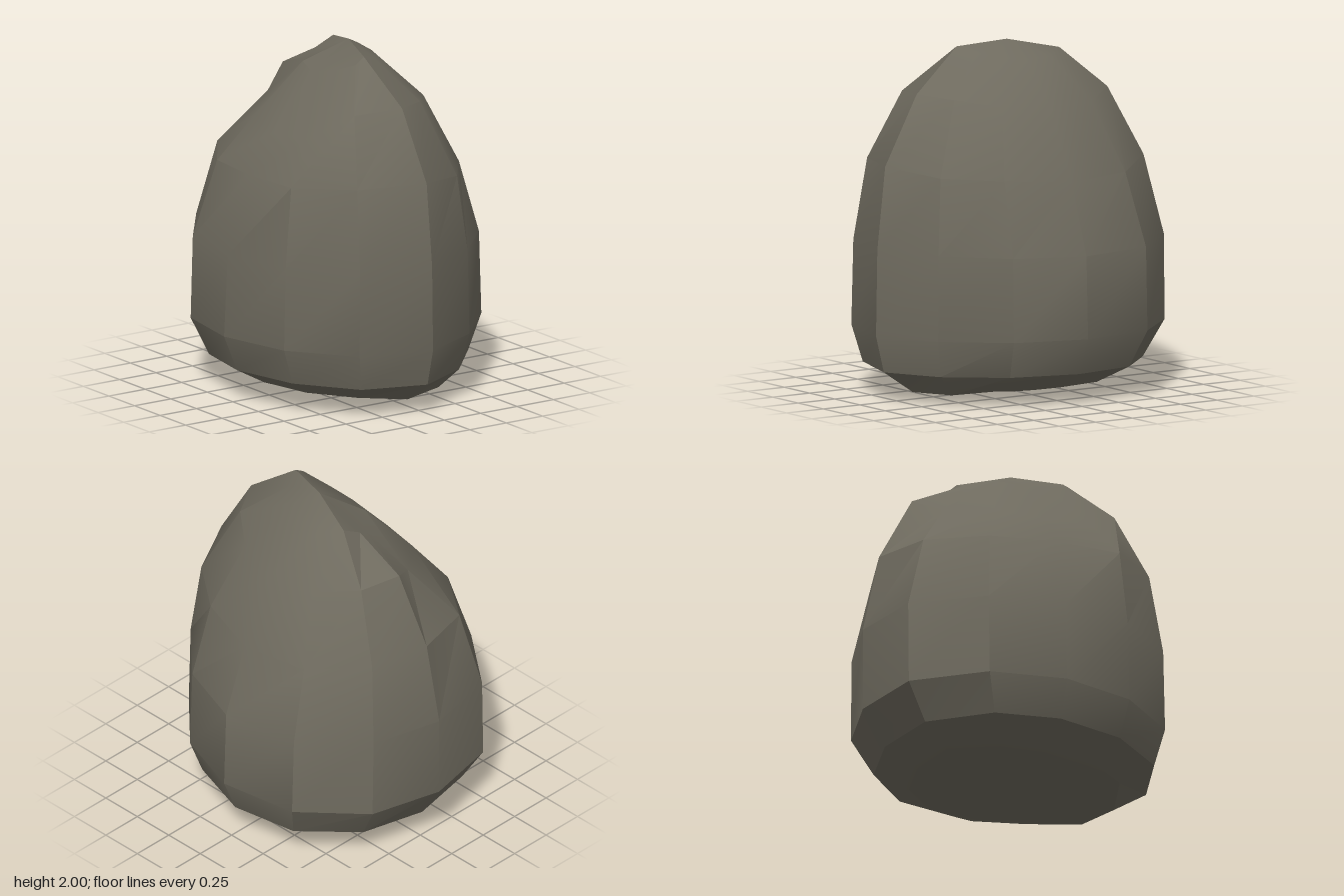
import * as THREE from 'three';
import { toCreasedNormals } from 'three/addons/utils/BufferGeometryUtils.js';

const stone = new THREE.MeshStandardMaterial({ color: 0x6e6a5e });
stone.name = 'grey brown stone';

// Irregular twelve-sided footprint [x, z] at the widest level, from +x towards +z
const footprint = [
  [0.89, 0], [0.77, 0.42], [0.43, 0.7], [0, 0.81], [-0.44, 0.73], [-0.81, 0.44],
  [-0.9, 0], [-0.79, -0.42], [-0.46, -0.73], [0, -0.81], [0.41, -0.67], [0.72, -0.37],
];

// Levels from top to bottom: heights at the sides, front and back,
// footprint scales to the left, right, front and back, sideways skew,
// and chipped corners that leave the rule, by footprint number
const levels = [
  { y: [1.95, 1.84, 1.9], s: [0.34, 0.33, 0.27, 0.25], skew: 0.2,
    chips: { 0: [0.3, 1.97, 0.06], 1: [0.3, 1.93, 0.12], 5: [-0.25, 1.85, 0.05], 6: [-0.29, 1.88, -0.02], 7: [-0.27, 1.94, -0.13] } },
  { y: [1.73, 1.52, 1.65], s: [0.68, 0.66, 0.64, 0.55], skew: 0.02,
    chips: { 1: [0.52, 1.71, 0.28], 2: [0.31, 1.55, 0.45], 4: [-0.27, 1.56, 0.41], 5: [-0.48, 1.62, 0.17] } },
  { y: [1.34, 1.31, 1.26], s: [0.93, 0.89, 0.9, 0.8], skew: 0,
    chips: { 1: [0.69, 1.33, 0.38], 4: [-0.38, 1.3, 0.59], 5: [-0.69, 1.31, 0.37], 11: [0.67, 1.3, -0.32] } },
  { y: [0.87, 0.86, 0.86], s: [0.99, 1, 0.98, 0.98], skew: 0, chips: {} },
  { y: [0.38, 0.39, 0.39], s: [1, 1, 1, 1], skew: 0, chips: {} },
  { y: [0.17, 0.18, 0.18], s: [0.94, 0.85, 0.89, 0.89], skew: 0, chips: {} },
  { y: [0.07, 0.08, 0.08], s: [0.72, 0.62, 0.66, 0.66], skew: 0,
    chips: { 0: [0.64, 0.04, 0], 11: [0.56, 0.05, -0.27] } },
  { y: [0.02, 0.03, 0.03], s: [0.34, 0.31, 0.34, 0.34], skew: 0, chips: {} },
];

// The front is sliced off along this slope of [y, z] points
const slope = [[0.39, 0.82], [0.86, 0.785], [1.31, 0.65], [1.63, 0.4], [1.93, 0.13], [2, 0]];
function frontLimit(y) {
  for (let i = 1; i < slope.length; i++) {
    const [y0, z0] = slope[i - 1], [y1, z1] = slope[i];
    if (y <= y1) return z0 + (z1 - z0) * Math.max(0, (y - y0) / (y1 - y0));
  }
  return 0;
}

function levelPoint({ y, s, skew }, [fx, fz]) {
  const blend = (fz / 0.82) ** 2;
  const py = y[0] + ((fz > 0 ? y[1] : y[2]) - y[0]) * blend;
  const px = fx * (fx > 0 ? s[0] : s[1]);
  const pz = fz * (fz > 0 ? s[2] : s[3]) + skew * px;
  return [px, py, Math.min(pz, frontLimit(py))];
}

function boulderGeometry() {
  const n = footprint.length;
  const points = [], index = [];
  for (const level of levels) {
    footprint.forEach((corner, c) => points.push(...(level.chips[c] ?? levelPoint(level, corner))));
  }
  const top = points.length / 3, bottom = top + 1;
  points.push(0.02, 2, -0.03, 0.03, 0, 0);

  const last = (levels.length - 1) * n;
  for (let c = 0; c < n; c++) {
    const d = (c + 1) % n;
    index.push(top, d, c);
    for (let r = 0; r < last; r += n) {
      index.push(r + c, r + d, r + n + d, r + c, r + n + d, r + n + c);
    }
    index.push(last + c, last + d, bottom);
  }
  const geometry = new THREE.BufferGeometry();
  geometry.setAttribute('position', new THREE.Float32BufferAttribute(points, 3));
  geometry.setIndex(index);
  // Soft shading within broad faces, hard breaks between them
  return toCreasedNormals(geometry, 0.47);
}

export function createModel() {
  const group = new THREE.Group();
  group.name = 'rock';
  const boulder = new THREE.Mesh(boulderGeometry(), stone);
  boulder.name = 'boulder';
  group.add(boulder);
  return group;
}
